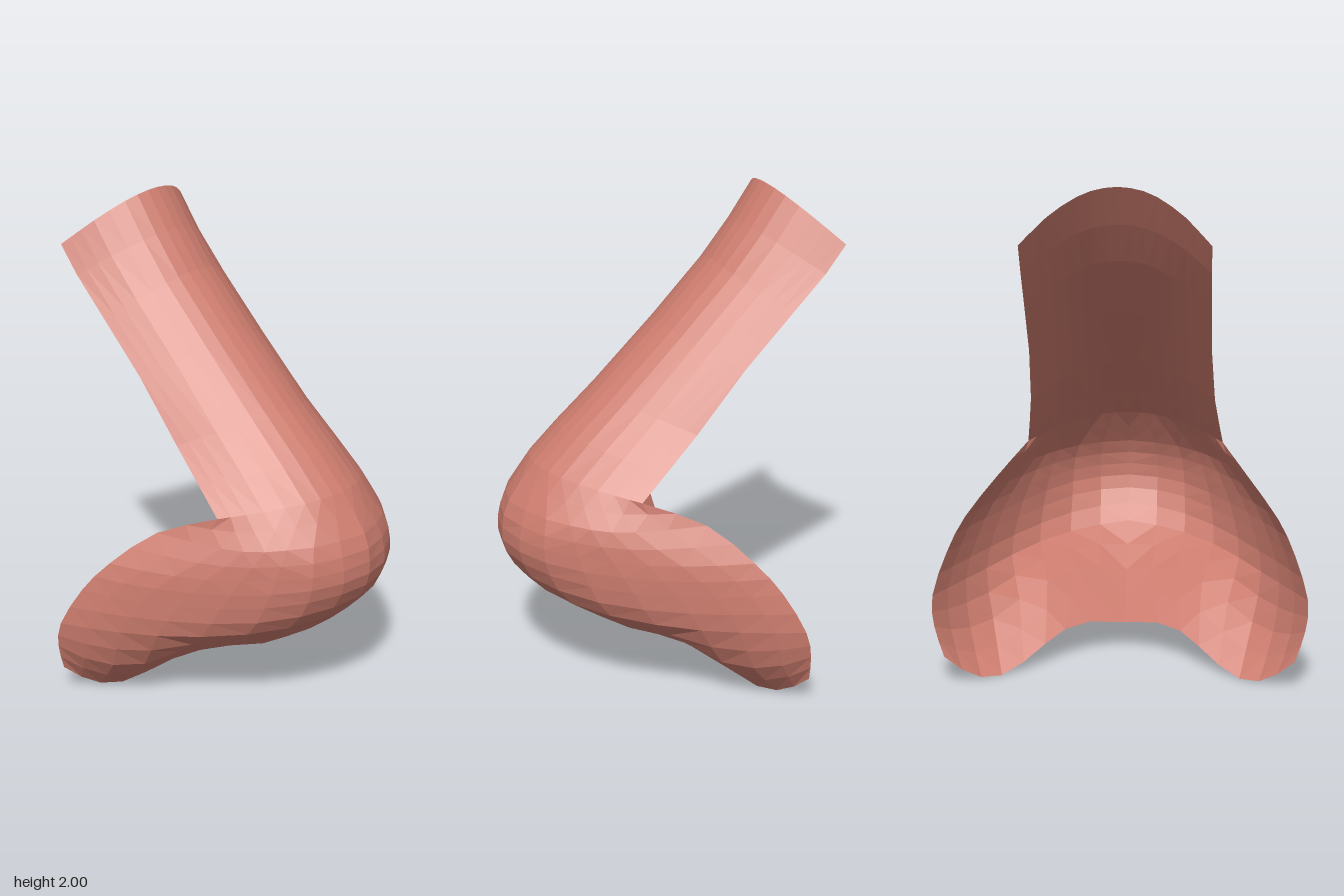
import * as THREE from 'three';

const HALF = 8; // facets from the centre line to one side edge
const V = (x, y, z) => new THREE.Vector3(x, y, z);
const sample = (points, n) => {
  const curve = new THREE.CatmullRomCurve3(points, false, 'catmullrom', 0.5);
  return Array.from({ length: n + 1 }, (_, i) => curve.getPoint(i / n));
};

// Arched section of the bridge: [share of half width, share of drop]
const ARCH = [[0, 0], [0.22, 0.045], [0.45, 0.2], [0.7, 0.49], [0.87, 0.77], [1, 1]];

// Bridge stations: centre y, centre z, edge x, edge y, edge z
const BRIDGE = [
  [2.0, -0.47, 0.355, 1.8, -0.667],
  [1.85, -0.366, 0.355, 1.69, -0.58],
  [1.7, -0.25, 0.357, 1.53, -0.42],
  [1.465, -0.02, 0.36, 1.34, -0.23],
  [1.22, 0.24, 0.375, 1.11, -0.02],
  [1.07, 0.405, 0.395, 0.98, 0.12],
  [0.95, 0.525, 0.412, 0.88, 0.23],
];

// Tip and nostril wing rows, from the centre line out to the rear edge
const LOWER = [
  [[0, 0.8, 0.635], [0.18, 0.795, 0.58], [0.31, 0.785, 0.475], [0.39, 0.775, 0.37], [0.45, 0.775, 0.23], [0.515, 0.785, 0]],
  [[0, 0.69, 0.665], [0.2, 0.68, 0.61], [0.36, 0.665, 0.45], [0.475, 0.65, 0.265], [0.565, 0.645, 0.07], [0.635, 0.645, -0.15]],
  [[0, 0.58, 0.65], [0.2, 0.57, 0.595], [0.39, 0.54, 0.41], [0.53, 0.52, 0.17], [0.63, 0.515, -0.05], [0.7, 0.52, -0.245]],
  [[0, 0.45, 0.56], [0.2, 0.43, 0.5], [0.4, 0.4, 0.33], [0.56, 0.37, 0.08], [0.67, 0.36, -0.14], [0.75, 0.36, -0.325]],
  [[0, 0.28, 0.36], [0.18, 0.31, 0.28], [0.35, 0.285, 0.12], [0.52, 0.19, -0.04], [0.65, 0.18, -0.2], [0.74, 0.24, -0.355]],
  [[0, 0.12, 0.11], [0.18, 0.145, 0.02], [0.29, 0.11, -0.09], [0.4, 0.04, -0.19], [0.51, 0, -0.27], [0.61, 0.04, -0.33], [0.7, 0.12, -0.372]],
];

// Turn half rows into a mirrored sheet
function sheet(halfRows) {
  const pos = [], index = [], w = 2 * HALF + 1;
  for (const row of halfRows) {
    for (let c = -HALF; c <= HALF; c++) {
      const p = row[Math.abs(c)];
      pos.push(Math.sign(c) * p.x, Math.max(0, p.y), p.z);
    }
  }
  for (let r = 0; r < halfRows.length - 1; r++) {
    for (let c = 0; c < w - 1; c++) {
      const a = r * w + c, b = a + w;
      // mirrored diagonals keep both sides alike
      if (c < HALF) index.push(a, b, b + 1, a, b + 1, a + 1);
      else index.push(a, b, a + 1, b, b + 1, a + 1);
    }
  }
  const g = new THREE.BufferGeometry();
  g.setAttribute('position', new THREE.Float32BufferAttribute(pos, 3));
  g.setIndex(index);
  g.computeVertexNormals();
  return g;
}

export function createModel() {
  const skin = new THREE.MeshStandardMaterial({ color: 0xcc7c6e, flatShading: true, side: THREE.DoubleSide });
  skin.name = 'skin';

  // Bridge: arched sections along the slope
  const bridgeRows = BRIDGE.map(([cy, cz, ex, ey, ez]) =>
    sample(ARCH.map(([s, d]) => V(ex * s, cy + (ey - cy) * d, cz + (ez - cz) * d)), HALF));

  // Tip and wings: smooth each column from the last bridge row to the lower rim
  const keys = [bridgeRows[bridgeRows.length - 1],
    ...LOWER.map((row) => sample(row.map((p) => V(...p)), HALF))];
  const steps = (keys.length - 1) * 2;
  const columns = keys[0].map((_, c) => sample(keys.map((row) => row[c]), steps));
  const lowerRows = Array.from({ length: steps + 1 }, (_, r) => columns.map((col) => col[r]));

  const group = new THREE.Group();
  group.name = 'nose';
  for (const [name, rows] of [['bridge', bridgeRows], ['tipAndNostrilWings', lowerRows]]) {
    const mesh = new THREE.Mesh(sheet(rows), skin);
    mesh.name = name;
    group.add(mesh);
  }
  return group;
}
